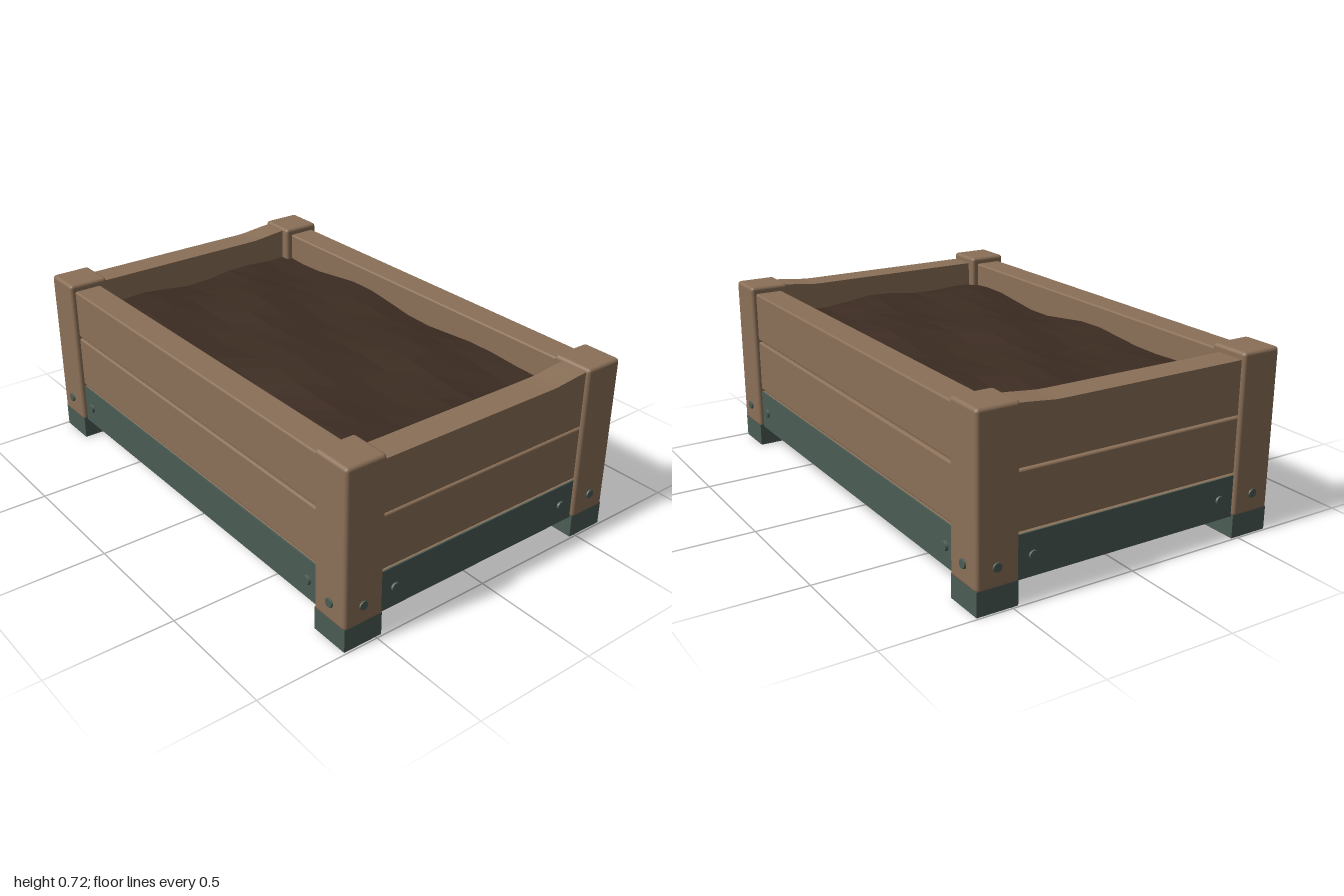
import * as THREE from 'three';
import { RoundedBoxGeometry } from 'three/addons/geometries/RoundedBoxGeometry.js';

const material = (name, color) => {
  const m = new THREE.MeshStandardMaterial({ color });
  m.name = name;
  return m;
};

export function createModel() {
  const group = new THREE.Group();
  const wood = material('wood', 0x8b7058);
  const paint = material('greenPaint', 0x4b5c54);
  const soil = material('soil', 0x3c2c22);

  const add = (name, geometry, mat, x, y, z) => {
    const mesh = new THREE.Mesh(geometry, mat);
    mesh.name = name;
    mesh.position.set(x, y, z);
    group.add(mesh);
    return mesh;
  };

  // Corner posts with painted feet (bare wood underneath)
  const footMaterials = [paint, paint, paint, wood, paint, paint];
  for (const sx of [-1, 1]) {
    for (const sz of [-1, 1]) {
      add('cornerPost', new RoundedBoxGeometry(0.167, 0.632, 0.167, 2, 0.014), wood, sx * 0.911, 0.402, sz * 0.556);
      add('postFoot', new THREE.BoxGeometry(0.162, 0.094, 0.162), footMaterials, sx * 0.911, 0.047, sz * 0.556);
    }
  }

  // Plank rows: bottom, top
  const rows = [[0.086, 0.25], [0.258, 0.476], [0.484, 0.69]];
  rows.forEach(([low, high], row) => {
    const h = high - low;
    const y = (low + high) / 2;
    for (const s of [-1, 1]) {
      add('longPlank', new RoundedBoxGeometry(1.69, h, 0.12, 2, 0.008), wood, 0, y, s * 0.56);

      // Top side planks lift slightly toward the back posts
      const side = new RoundedBoxGeometry(0.115, h, 0.98, 2, 0.008);
      if (row === 2) {
        const body = new THREE.BoxGeometry(0.115, h, 0.98, 1, 1, 24);
        const p = body.attributes.position;
        for (let i = 0; i < p.count; i++) {
          const t = THREE.MathUtils.clamp((-0.32 - p.getZ(i)) / 0.15, 0, 1);
          if (p.getY(i) > 0) p.setY(i, p.getY(i) + 0.016 * t);
        }
        body.computeVertexNormals();
        add('sidePlank', body, wood, s * 0.9225, y, 0);
      } else {
        add('sidePlank', side, wood, s * 0.9225, y, 0);
      }

      // Painted outer face of the bottom row
      if (row === 0) {
        add('longPaintedFace', new THREE.BoxGeometry(1.67, h, 0.006), paint, 0, y, s * 0.6185);
        add('sidePaintedFace', new THREE.BoxGeometry(0.006, h, 0.96), paint, s * 0.9785, y, 0);
      }
    }
  });

  // Bolt heads on posts and painted planks
  const boltShape = new THREE.CylinderGeometry(0.017, 0.021, 0.018, 10);
  for (const sx of [-1, 1]) {
    for (const sz of [-1, 1]) {
      for (const [x, z] of [[0.915, 0.638], [0.77, 0.622]]) {
        add('bolt', boltShape, paint, sx * x, 0.165, sz * z).rotation.x = sz * Math.PI / 2;
      }
      for (const [x, z] of [[0.991, 0.56], [0.98, 0.41]]) {
        add('bolt', boltShape, paint, sx * x, 0.165, sz * z).rotation.z = -sx * Math.PI / 2;
      }
    }
  }

  // Soil bed with a faceted, gently uneven top
  const bed = new THREE.BoxGeometry(1.736, 0.45, 1.004, 14, 1, 9);
  const p = bed.attributes.position;
  for (let i = 0; i < p.count; i++) {
    if (p.getY(i) < 0) continue;
    const x = p.getX(i);
    const z = p.getZ(i);
    const mound = 0.025 * Math.cos(x * 1.7) * Math.cos(z * 2.6);
    const lumps = 0.012 * Math.sin(x * 9 + z * 4) + 0.01 * Math.sin(z * 13 - x * 5);
    p.setY(i, p.getY(i) + mound + lumps);
  }
  const facets = bed.toNonIndexed();
  facets.computeVertexNormals();
  add('soilBed', facets, soil, 0, 0.355, 0);

  return group;
}
